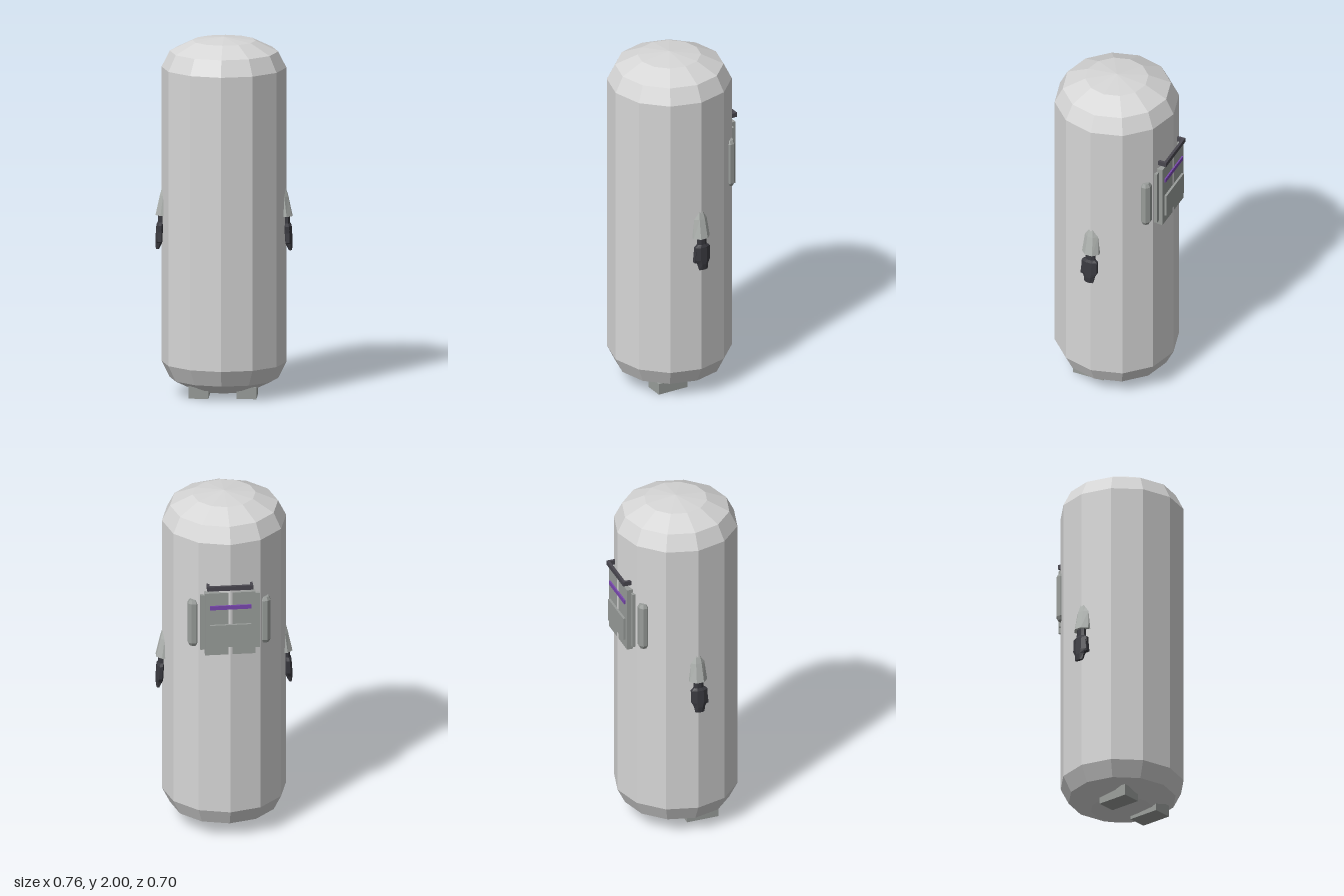
import * as THREE from 'three';

const mat = (name, color) => new THREE.MeshStandardMaterial({ name, color, flatShading: true });

export function createModel() {
  const paint = {
    shell: mat('light grey', 0xd6d6d6),
    sleeve: mat('sleeve grey', 0xb0b4b1),
    pack: mat('pack grey', 0x999d9a),
    hand: mat('charcoal', 0x3a3a40),
    handle: mat('dark handle', 0x49474f),
    stripe: mat('purple', 0x7a48b0),
  };
  const model = new THREE.Group();
  model.name = 'capsuleFigure';

  const add = (parent, name, geometry, material) => {
    const mesh = new THREE.Mesh(geometry, material);
    mesh.name = name;
    parent.add(mesh);
    return mesh;
  };
  const group = (name) => {
    const g = new THREE.Group();
    g.name = name;
    model.add(g);
    return g;
  };
  // Box given by its limits on each axis
  const box = (parent, name, material, [x0, x1], [y0, y1], [z0, z1]) => {
    const mesh = add(parent, name, new THREE.BoxGeometry(x1 - x0, y1 - y0, z1 - z0), material);
    mesh.position.set((x0 + x1) / 2, (y0 + y1) / 2, (z0 + z1) / 2);
    return mesh;
  };
  // Closed eight-sided loft through sections [y, centre x, centre z, x radius, z radius], top first
  const loft = (sections) => {
    const k = sections.length - 1;
    const g = new THREE.CylinderGeometry(1, 1, 1, 8, k, false, Math.PI / 8);
    const p = g.attributes.position;
    for (let i = 0; i < p.count; i++) {
      const [y, cx, cz, rx, rz] = sections[Math.round((0.5 - p.getY(i)) * k)];
      p.setXYZ(i, cx + p.getX(i) * rx, y, cz + p.getZ(i) * rz);
    }
    g.computeVertexNormals();
    return g;
  };

  // Twelve-sided capsule body
  const profile = [[0, 0.01], [0.175, 0.03], [0.3, 0.09], [0.345, 0.18],
    [0.345, 1.83], [0.3, 1.92], [0.175, 1.98], [0, 2]];
  const body = add(model, 'body',
    new THREE.LatheGeometry(profile.map(([r, y]) => new THREE.Vector2(r, y)), 12), paint.shell);
  body.position.z = 0.005;

  for (const s of [1, -1]) {
    const side = s > 0 ? 'left' : 'right';
    const span = (a, b) => (s > 0 ? [a, b] : [-b, -a]);

    // Arm: flared sleeve and a mitten-like hand
    const arm = group(side + 'Arm');
    add(arm, 'sleeve', loft([
      [1.155, s * 0.318, 0.005, 0.026, 0.028],
      [1.11, s * 0.321, 0.005, 0.036, 0.043],
      [1.0, s * 0.329, 0.005, 0.053, 0.055],
    ]), paint.sleeve);
    add(arm, 'hand', loft([
      [1.01, s * 0.347, 0.005, 0.018, 0.027],
      [0.96, s * 0.349, 0.005, 0.018, 0.03],
      [0.945, s * 0.352, 0.007, 0.023, 0.05],
      [0.87, s * 0.357, 0.007, 0.023, 0.05],
      [0.845, s * 0.36, 0.006, 0.021, 0.034],
      [0.81, s * 0.367, 0.006, 0.01, 0.028],
    ]), paint.hand);
    const thumb = box(arm, 'thumb', paint.hand, span(0.342, 0.365), [0.855, 0.925], [0.035, 0.055]);
    thumb.rotation.x = -0.1;

    // Foot
    box(model, side + 'Foot', paint.pack, span(0.077, 0.188), [0, 0.065], [0, 0.185]);

    // Rounded pouch beside the pack
    add(model, side + 'Pouch', loft([
      [1.47, s * 0.198, -0.263, 0.023, 0.021],
      [1.45, s * 0.198, -0.263, 0.034, 0.032],
      [1.21, s * 0.198, -0.263, 0.034, 0.032],
      [1.19, s * 0.198, -0.263, 0.023, 0.021],
    ]), paint.pack);
  }

  // Back pack: stepped panel, pocket, stripe and carrying handle
  const pack = group('backPack');
  box(pack, 'packFlange', paint.pack, [-0.165, 0.165], [1.18, 1.515], [-0.315, -0.285]);
  box(pack, 'packPanel', paint.pack, [-0.14, 0.14], [1.155, 1.535], [-0.337, -0.29]);
  box(pack, 'packPocket', paint.pack, [-0.115, 0.115], [1.207, 1.342], [-0.35, -0.33]);
  box(pack, 'packStripe', paint.stripe, [-0.115, 0.115], [1.435, 1.459], [-0.345, -0.336]);
  box(pack, 'handleBar', paint.handle, [-0.125, 0.13], [1.556, 1.582], [-0.354, -0.339]);
  for (const x of [-0.125, 0.115]) {
    box(pack, 'handleArm', paint.handle, [x, x + 0.015], [1.556, 1.582], [-0.34, -0.297]);
  }

  return model;
}
